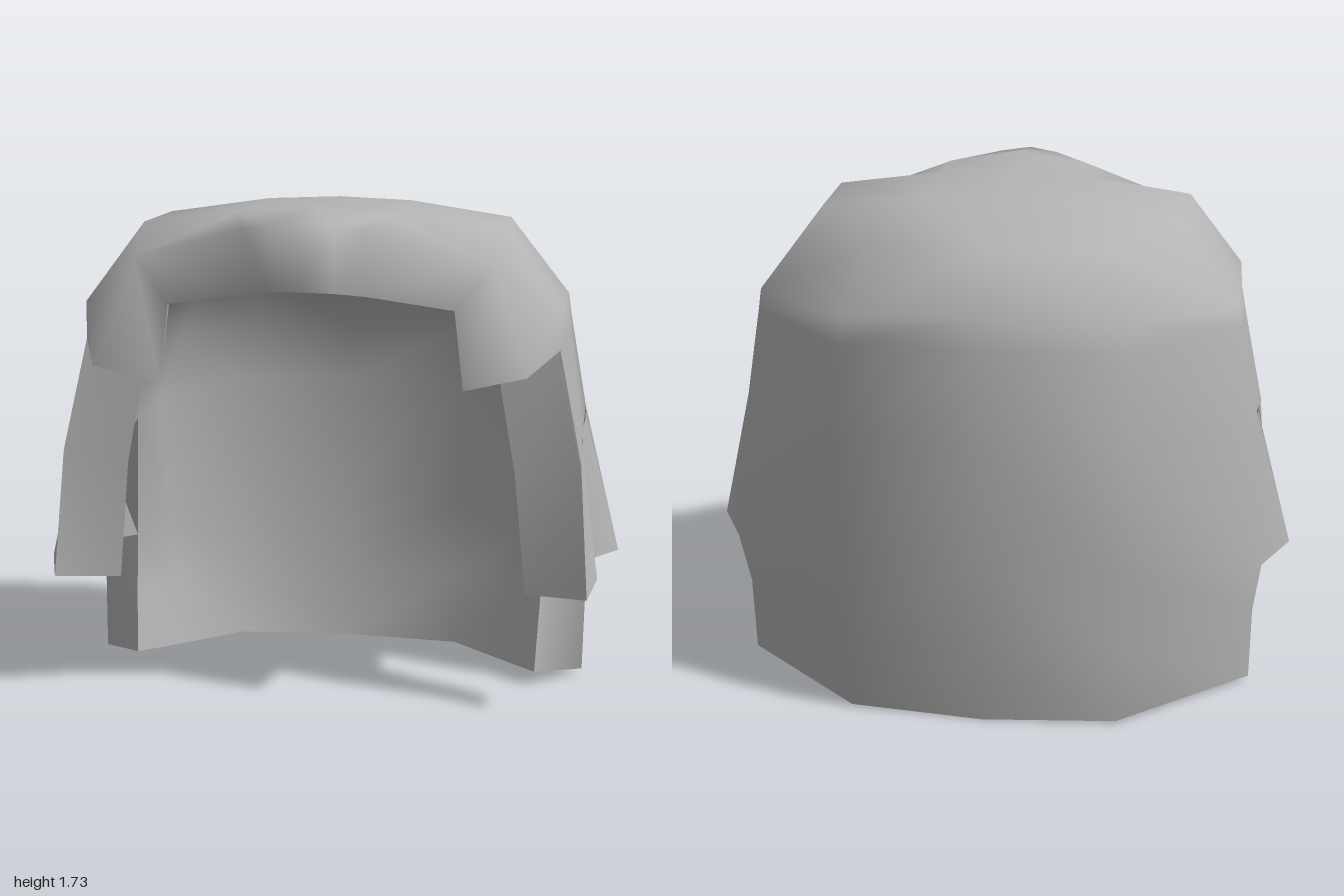
import * as THREE from 'three';
import { mergeVertices, toCreasedNormals } from 'three/addons/utils/BufferGeometryUtils.js';

// Adds a quad (counter-clockwise from outside) and its mirror image across x = 0
function quad(out, a, b, c, d) {
  for (const t of [[a, b, c], [a, c, d]]) {
    const v = t.map(p => new THREE.Vector3(...p));
    const area = v[1].clone().sub(v[0]).cross(v[2].clone().sub(v[0])).length();
    if (area < 1e-6) continue;
    for (const p of v) out.push(p.x, p.y, p.z);
    for (const p of [v[0], v[2], v[1]]) out.push(-p.x, p.y, p.z);
  }
}

// Skins rows of points: rows run upward, points run front to back
function skin(out, rows, flip = false) {
  for (let j = 0; j + 1 < rows.length; j++) {
    for (let i = 0; i + 1 < rows[j].length; i++) {
      const q = [rows[j][i], rows[j][i + 1], rows[j + 1][i + 1], rows[j + 1][i]];
      quad(out, ...(flip ? q.reverse() : q));
    }
  }
}

function geometry(positions, crease) {
  let g = new THREE.BufferGeometry();
  g.setAttribute('position', new THREE.Float32BufferAttribute(positions, 3));
  if (crease) return toCreasedNormals(g, crease);
  g = mergeVertices(g, 1e-4);
  g.computeVertexNormals();
  return g;
}

// Lock of hair from four-cornered sections, lowest first
function lock(sections) {
  const out = [];
  skin(out, sections.map(s => [...s, s[0]]));
  const [a, b, c, d] = sections[0];
  quad(out, d, c, b, a);
  return geometry(out, 1.1);
}

export function createModel() {
  const group = new THREE.Group();
  const hair = new THREE.MeshStandardMaterial({ color: 0xb4b4b4, side: THREE.DoubleSide });
  hair.name = 'hair grey';
  const add = (name, g) => {
    const m = new THREE.Mesh(g, hair);
    m.name = name;
    group.add(m);
  };

  // Key points of the half head
  const crown = [0, 1.725, 0.42], crownSide = [0.25, 1.69, 0.38];
  const temple = [0.59, 1.55, 0.43], templeLow = [0.79, 1.38, 0.3];
  const sideFront = [0.88, 0.87, 0.31], sideMid = [0.87, 0.94, 0];
  const sideRow = [sideMid, [0.87, 0.98, -0.19], [0.48, 1, -0.61], [0, 1, -0.65]];
  const napeCentre = [0, 1.6, -0.48];

  // Back mantle rows, from the bottom hem up to the flare
  const mantle = [
    [[0.72, 0.05, -0.01], [0.88, 0.015, -0.18], [0.45, 0.01, -0.57], [0, 0, -0.6]],
    [[0.73, 0.26, -0.06], [0.885, 0.28, -0.2], [0.47, 0.28, -0.6], [0, 0.28, -0.64]],
    [[0.74, 0.46, -0.12], [0.91, 0.47, -0.25], [0.48, 0.55, -0.61], [0, 0.62, -0.65]],
  ];
  const flareBase = mantle[2][0], flareBack = mantle[2][1];
  const flareFront = [0.87, 0.46, 0], flareTip = [1, 0.49, -0.08];

  // Upper head rows, from the ears to the centre parting
  const tuft = [[0.5, 1.14, 0.46], [0.71, 1.2, 0.52], [0.8, 1.25, 0.27]];
  const upper = [
    [sideFront, ...sideRow],
    [tuft[2], [0.82, 1.28, 0], [0.81, 1.3, -0.23], [0.47, 1.3, -0.59], [0, 1.3, -0.61]],
    [templeLow, [0.8, 1.37, 0.05], [0.8, 1.37, -0.23], [0.45, 1.38, -0.555], [0, 1.4, -0.575]],
    [temple, [0.61, 1.64, 0.2], [0.6, 1.64, -0.15], [0.38, 1.6, -0.47], napeCentre],
    [crownSide, [0.25, 1.69, 0.2], [0.25, 1.69, -0.17], napeCentre, napeCentre],
    [crown, [0, 1.705, 0.2], [0, 1.7, -0.17], napeCentre, napeCentre],
  ];

  // Fringe rows, from the centre outwards
  const fringeLow = [[0, 1.47, 0.61], [0.1, 1.465, 0.59], [0.2, 1.45, 0.54], [0.47, 1.4, 0.46]];
  const fringeTop = [[0, 1.69, 0.65], [0.1, 1.68, 0.62], [0.2, 1.66, 0.55], temple];

  // Inner rows that fit around the head
  const innerSide = [[0.7, 0.92, 0], [0.66, 0.96, -0.18], [0.42, 1, -0.43], [0, 1, -0.46]];
  const innerNape = [0, 1.37, -0.34];
  const innerMantle = [
    [mantle[0][0], [0.6, 0.04, -0.15], [0.4, 0.03, -0.37], [0, 0.03, -0.4]],
    [mantle[1][0], [0.62, 0.28, -0.2], [0.41, 0.28, -0.41], [0, 0.28, -0.44]],
    [flareBase, [0.64, 0.48, -0.22], [0.42, 0.55, -0.43], [0, 0.62, -0.46]],
    innerSide,
  ];
  const innerUpper = [
    [[0.7, 0.85, 0.28], ...innerSide],
    [[0.61, 1.18, 0.26], [0.62, 1.2, 0], [0.58, 1.2, -0.18], [0.38, 1.2, -0.41], [0, 1.2, -0.43]],
    [[0.48, 1.39, 0.4], [0.5, 1.39, 0.1], [0.48, 1.39, -0.14], [0.32, 1.37, -0.32], innerNape],
    [[0.22, 1.45, 0.4], [0.22, 1.455, 0.15], [0.22, 1.455, -0.12], innerNape, innerNape],
    [[0, 1.465, 0.4], [0, 1.47, 0.15], [0, 1.46, -0.12], innerNape, innerNape],
  ];

  // Outer surface: mantle, flare, head, fringe and temple tufts
  const outside = [];
  skin(outside, mantle);
  skin(outside, [mantle[2].slice(1), sideRow.slice(1)]);
  skin(outside, [[flareFront, flareTip, flareBack], [sideMid, [0.875, 0.96, -0.07], sideRow[1]]]);
  skin(outside, upper);
  skin(outside, [fringeLow, fringeTop, [crown, crown, crownSide, temple]]);
  skin(outside, [tuft, [fringeLow[3], temple, templeLow]]);
  add('outerHair', geometry(outside));

  const inside = [];
  skin(inside, innerMantle, true);
  skin(inside, innerUpper, true);
  add('innerHair', geometry(inside));

  // Rims joining the outer and inner surfaces
  const rim = [];
  const [innerFront, tuftInside, innerTemple, innerBrow, innerBrowMid] = innerUpper.map(r => r[0]);
  skin(rim, [
    [innerBrowMid, innerBrow, innerBrow, innerTemple, tuftInside, tuftInside, tuftInside],
    [...fringeLow, ...tuft],
  ]);
  skin(rim, [innerMantle[0], mantle[0]]);
  quad(rim, innerFront, sideFront, tuft[2], tuftInside);
  quad(rim, innerSide[0], sideMid, sideFront, innerFront);
  quad(rim, flareBase, flareBack, flareTip, flareFront);
  quad(rim, flareBase, flareFront, sideMid, innerSide[0]);
  add('hairRims', geometry(rim, 0.6));

  // Sideburns hanging in front of the ears
  add('sideburns', lock([
    [[0.7, 0.415, 0.27], [0.91, 0.43, 0.36], [0.94, 0.48, 0.27], [0.8, 0.47, 0.18]],
    [[0.66, 0.83, 0.29], [0.88, 0.86, 0.315], [0.875, 0.9, 0.16], [0.75, 0.88, 0.14]],
    [[0.6, 1.16, 0.27], [0.79, 1.24, 0.275], [0.79, 1.22, 0.12], [0.66, 1.18, 0.12]],
  ]));
  return group;
}
